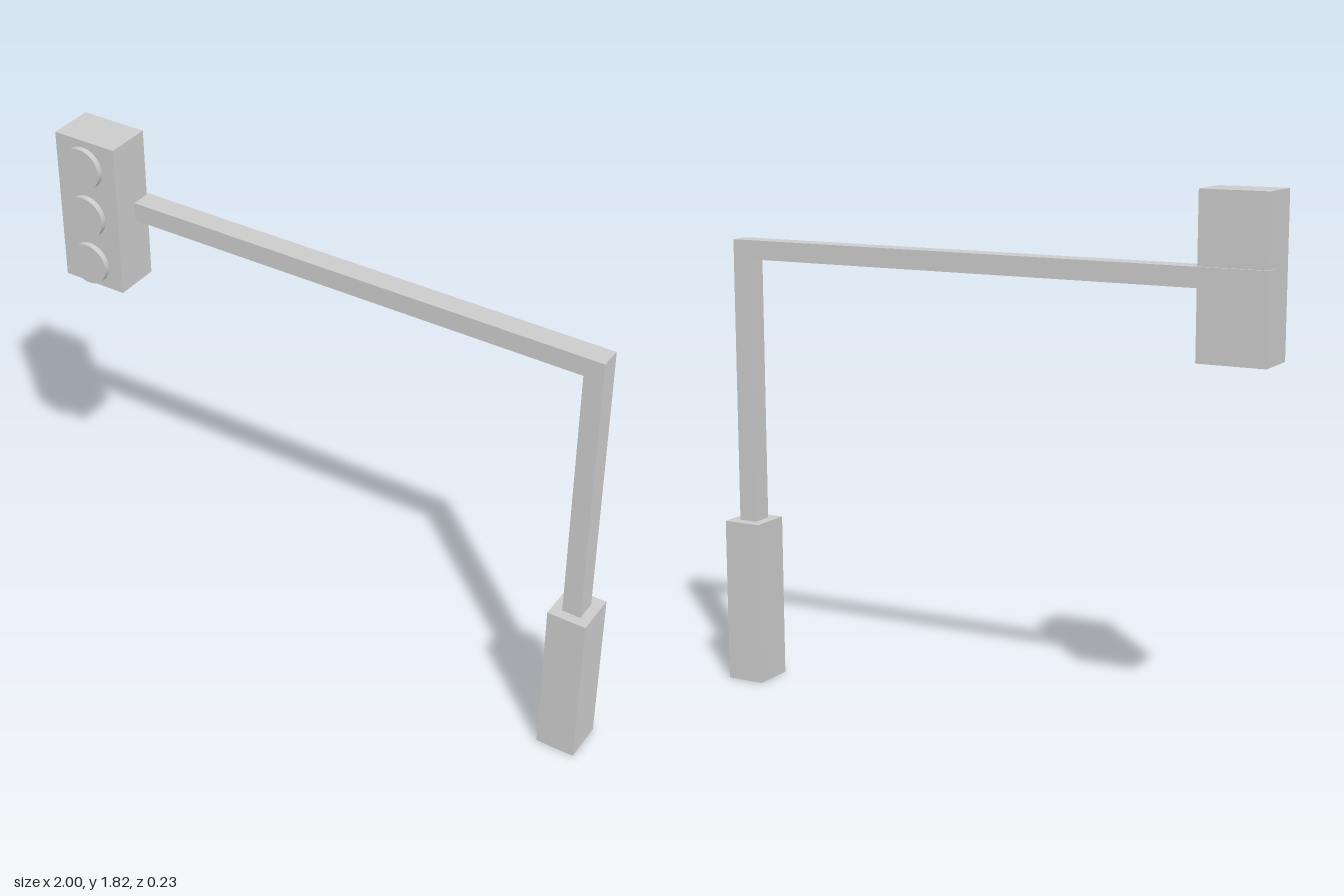
import * as THREE from 'three';

const material = new THREE.MeshStandardMaterial({ color: 0xcccccc });

function addMesh(parent, name, geometry, x = 0, y = 0, z = 0) {
  const mesh = new THREE.Mesh(geometry, material);
  mesh.name = name;
  mesh.position.set(x, y, z);
  parent.add(mesh);
  return mesh;
}

// Box given by its lower and upper corners
function addBox(parent, name, [x0, y0, z0], [x1, y1, z1]) {
  const geometry = new THREE.BoxGeometry(x1 - x0, y1 - y0, z1 - z0);
  return addMesh(parent, name, geometry, (x0 + x1) / 2, (y0 + y1) / 2, (z0 + z1) / 2);
}

export function createModel() {
  const model = new THREE.Group();
  model.name = 'trafficLight';

  // Thick foot of the post
  addBox(model, 'base', [0.862, 0, -0.114], [1, 0.58, 0.037]);

  // Post and overhead arm as one L-shaped square bar
  const bar = new THREE.Shape([
    [0.898, 0.57], [0.964, 0.57], [0.964, 1.577],
    [-1, 1.577], [-1, 1.511], [0.898, 1.511],
  ].map(([x, y]) => new THREE.Vector2(x, y)));
  const barGeometry = new THREE.ExtrudeGeometry(bar, { depth: 0.077, bevelEnabled: false });
  addMesh(model, 'postAndArm', barGeometry, 0, 0, -0.075);

  // Signal head with its three lamps
  const head = new THREE.Group();
  head.name = 'signalHead';
  model.add(head);
  addBox(head, 'housing', [-0.997, 1.275, -0.066], [-0.762, 1.815, 0.094]);
  const lampGeometry = new THREE.CylinderGeometry(0.073, 0.073, 0.04, 32).rotateX(Math.PI / 2);
  ['bottomLamp', 'middleLamp', 'topLamp'].forEach((name, i) => {
    addMesh(head, name, lampGeometry, -0.887, 1.358 + i * 0.18, 0.094);
  });

  return model;
}
